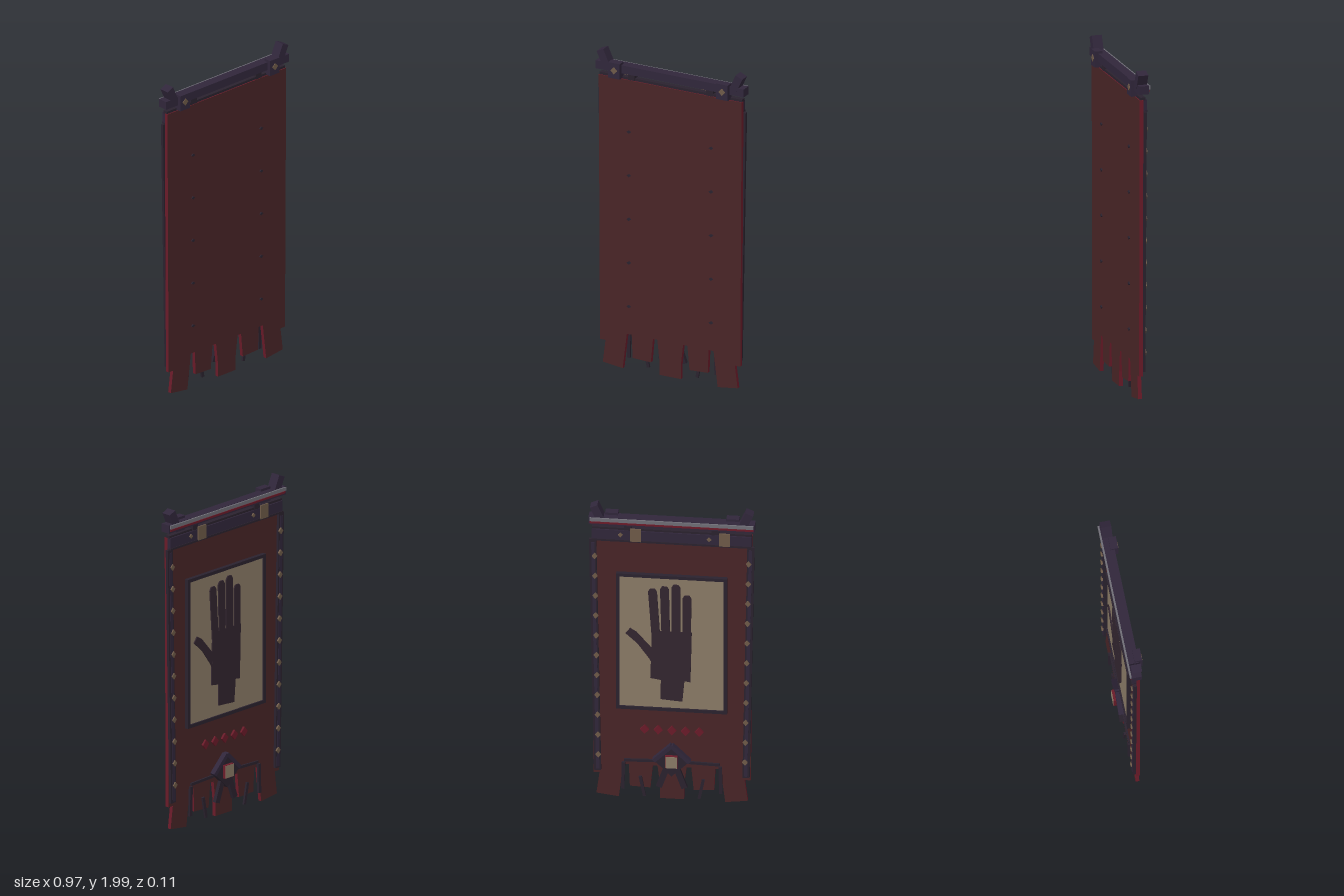
import * as THREE from 'three';

export function createModel() {
  const root = new THREE.Group();
  const mat = (name, color, opts = {}) => {
    const m = new THREE.MeshStandardMaterial({ color, ...opts });
    m.name = name;
    return m;
  };
  const cloth = mat('maroon cloth', 0x482426);
  const crimson = mat('crimson edging', 0x6a1b29);
  const wood = mat('dark purple wood', 0x30263a);
  const trim = mat('dark trim', 0x2a222e);
  const bronze = mat('bronze', 0x6e5a48);
  const linen = mat('tan linen', 0x8a7a66);
  const ink = mat('dark hand dye', 0x32252f);
  const steel = mat('grey steel', 0x6f6d76);

  const add = (name, geo, material) => {
    const m = new THREE.Mesh(geo, material);
    m.name = name;
    root.add(m);
    return m;
  };
  // box given by its extents
  const box = (name, material, x0, x1, y0, y1, z0, z1, rot = 0) => {
    const m = add(name, new THREE.BoxGeometry(x1 - x0, y1 - y0, z1 - z0), material);
    m.position.set((x0 + x1) / 2, (y0 + y1) / 2, (z0 + z1) / 2);
    m.rotation.z = rot;
    return m;
  };
  // flat outline in x and y, filled between two depths
  const plate = (name, material, pts, z0, z1) => {
    const shape = new THREE.Shape(pts.map(([x, y]) => new THREE.Vector2(x, y)));
    const g = new THREE.ExtrudeGeometry(shape, { depth: z1 - z0, bevelEnabled: false });
    g.translate(0, 0, z0);
    return add(name, g, material);
  };
  // straight strap between two points
  const strap = (name, material, a, b, w, z0, z1) => {
    const dx = b[0] - a[0], dy = b[1] - a[1], l = Math.hypot(dx, dy);
    const nx = (-dy / l) * w / 2, ny = (dx / l) * w / 2;
    return plate(name, material, [[a[0] + nx, a[1] + ny], [a[0] - nx, a[1] - ny],
      [b[0] - nx, b[1] - ny], [b[0] + nx, b[1] + ny]], z0, z1);
  };
  const diamond = (name, material, x, y, rx, ry, z0, z1) =>
    plate(name, material, [[x - rx, y], [x, y - ry], [x + rx, y], [x, y + ry]], z0, z1);

  // cloth with ragged tabs along the bottom
  const half = [[0.47, 1.83], [0.461, 0.165], [0.425, 0.165], [0.443, 0.025], [0.312, 0.008],
    [0.285, 0.23], [0.253, 0.23], [0.247, 0.085], [0.127, 0.08], [0.113, 0.23],
    [0.085, 0.23], [0.07, 0.1], [0.07, 0.012]];
  const outline = [...half, ...half.slice().reverse().map(([x, y]) => [-x, y])];
  plate('clothBanner', [cloth, crimson], outline, -0.005, 0.018);

  // hanging pole
  box('pole', wood, -0.487, 0.487, 1.868, 1.918, -0.035, 0.025);
  box('poleSteelStrip', steel, -0.48, 0.48, 1.895, 1.916, -0.045, -0.035);
  box('poleRedStrip', crimson, -0.48, 0.48, 1.878, 1.89, -0.04, -0.035);

  // header band on the back and thin rail over the cloth
  box('headerRail', trim, -0.468, 0.468, 1.826, 1.845, -0.02, 0.012);
  box('headerBand', wood, -0.468, 0.468, 1.765, 1.832, -0.028, -0.005);
  box('headerLowerTrim', trim, -0.468, 0.468, 1.758, 1.77, -0.032, -0.005);
  for (const x of [0.21, -0.31]) {
    box('headerClasp', bronze, x - 0.032, x + 0.032, 1.765, 1.85, -0.036, -0.028);
    diamond('headerStud', bronze, x + 0.09, 1.805, 0.014, 0.014, -0.036, -0.028);
  }

  for (const s of [-1, 1]) {
    // pole ends, brackets and hangers
    box('poleHorn', wood, s * 0.437 - 0.024, s * 0.437 + 0.024, 1.897, 1.993, -0.033, 0.028, -s * 0.42);
    box('poleBracket', wood, s * 0.355 - 0.038, s * 0.355 + 0.038, 1.835, 1.932, 0.0, 0.046);
    diamond('bracketStud', bronze, s * 0.355, 1.885, 0.022, 0.022, 0.046, 0.05);
    box('hanger', trim, s * 0.257 - 0.022, s * 0.257 + 0.022, 1.83, 1.875, -0.025, 0.015);

    // side trim and its studs
    strap('sideTrim', trim, [s * 0.464, 1.76], [s * 0.435, 0.19], 0.042, -0.022, -0.005);
    strap('sideTrimInner', wood, [s * 0.462, 1.74], [s * 0.433, 0.2], 0.02, -0.025, -0.022);
    for (let i = 0; i < 11; i++) {
      const y = 1.65 - i * 0.135;
      diamond('sideStud', bronze, s * (0.425 + y * 0.016), y, 0.016, 0.02, -0.033, -0.022);
    }

    // rivet ends on the front
    for (let i = 0; i < 5; i++)
      diamond('frontRivet', trim, s * 0.27, 1.506 - i * 0.275, 0.014, 0.01, 0.018, 0.025);

    // hem bars and loose cords
    strap('hemBar', trim, [s * 0.28, 0.262], [s * 0.09, 0.268], 0.016, -0.016, -0.005);
    strap('hangingCord', trim, [s * 0.283, 0.25], [s * 0.288, 0.07], 0.02, -0.02, -0.006);
    strap('hangingCord', trim, [s * 0.185, 0.16], [s * 0.16, 0.03], 0.018, -0.022, -0.01);

    // emblem legs and roof
    strap('emblemLeg', trim, [s * 0.015, 0.27], [s * 0.075, 0.1], 0.035, -0.028, -0.005);
    strap('emblemRoof', wood, [0, 0.385], [s * 0.105, 0.28], 0.024, -0.038, -0.005);
  }

  // framed linen panel
  box('linenPanel', linen, -0.315, 0.315, 0.63, 1.53, -0.021, -0.005);
  for (const s of [-1, 1]) {
    box('frameSide', trim, s * 0.315 - 0.01, s * 0.315 + 0.01, 0.62, 1.54, -0.03, -0.005);
    const y = 1.08 + s * 0.45;
    box('frameRail', trim, -0.305, 0.305, y - 0.01, y + 0.01, -0.03, -0.005);
  }

  // hand on the panel
  plate('handPalm', ink, [[0.065, 0.70], [-0.063, 0.69], [-0.075, 0.83], [-0.11, 0.825],
    [-0.118, 1.16], [0.115, 1.16], [0.125, 0.84], [0.063, 0.83]], -0.029, -0.021);
  const fingers = [[0.092, 0.112, 1.445], [0.034, 0.042, 1.465], [-0.025, -0.025, 1.48], [-0.088, -0.09, 1.41]];
  for (const [x0, x1, top] of fingers) {
    plate('handFinger', ink, [[x0 - 0.025, 1.12], [x0 + 0.025, 1.12], [x1 + 0.026, top - 0.02],
      [x1 + 0.014, top], [x1 - 0.014, top], [x1 - 0.026, top - 0.02]], -0.029, -0.021);
  }
  plate('handThumb', ink, [[0.11, 0.93], [0.13, 0.97], [0.2, 1.07], [0.27, 1.135], [0.243, 1.17],
    [0.205, 1.145], [0.125, 1.05], [0.11, 1.04]], -0.0285, -0.021);

  // row of small diamonds
  for (let i = -2; i <= 2; i++)
    diamond('smallDiamond', crimson, i * 0.08, 0.48, 0.026, 0.03, -0.018, -0.005);

  // lower emblem
  diamond('emblemBase', trim, 0, 0.28, 0.1, 0.1, -0.034, -0.005);
  box('emblemBlock', crimson, -0.036, 0.036, 0.245, 0.325, -0.052, -0.03);
  box('emblemFace', linen, -0.034, 0.034, 0.247, 0.323, -0.055, -0.052);
  return root;
}
